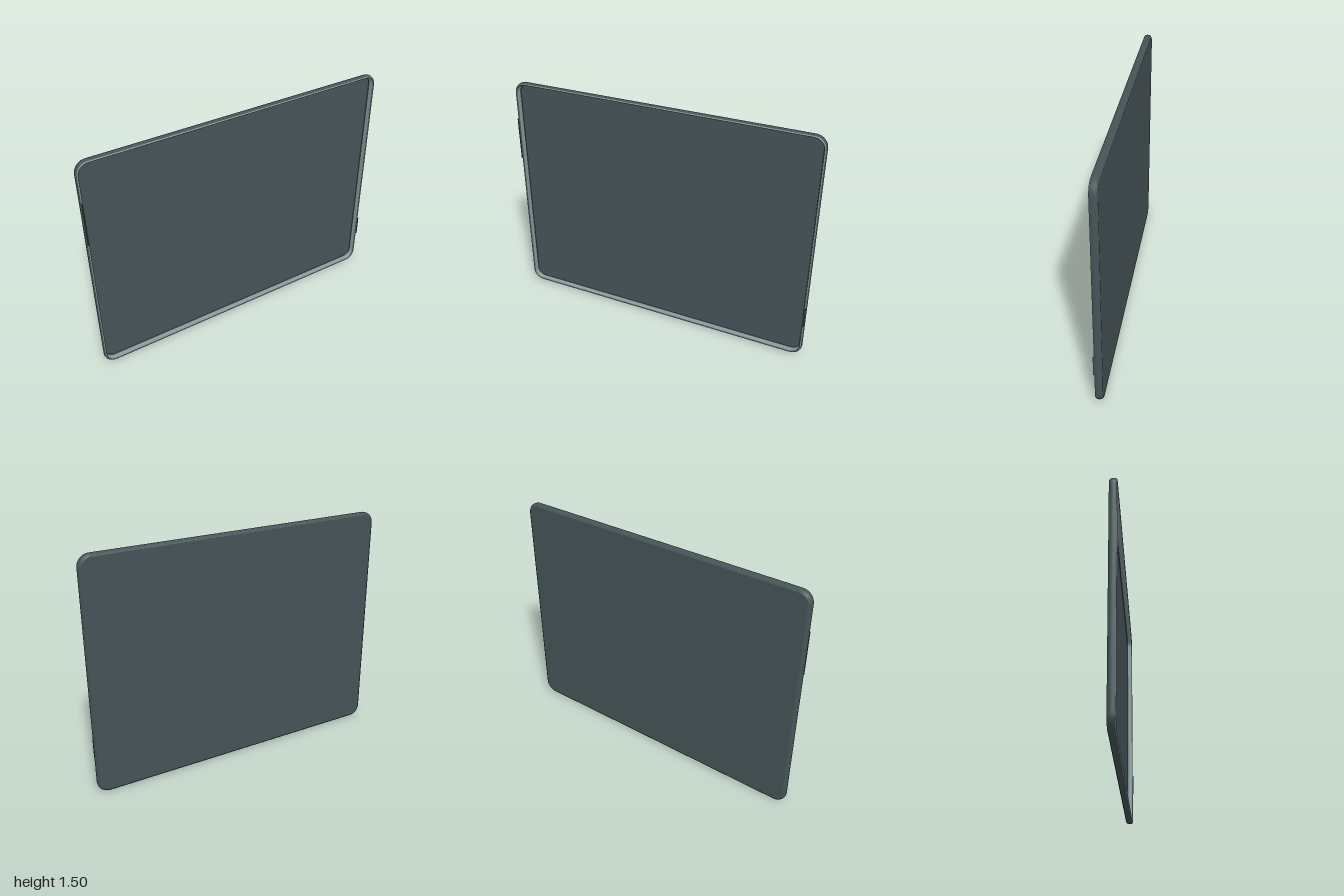
import * as THREE from 'three';
import { toCreasedNormals } from 'three/addons/utils/BufferGeometryUtils.js';

const W = 1, H = 0.75, R = 0.075, SEG = 10;

// Counter-clockwise rounded rectangle, inset from the outer edge.
function ring(inset, z) {
  const points = [];
  const r = R - inset;
  [[1, 1], [-1, 1], [-1, -1], [1, -1]].forEach(([sx, sy], corner) => {
    for (let i = 0; i <= SEG; i++) {
      const a = (corner + i / SEG) * Math.PI / 2;
      points.push(new THREE.Vector3(
        sx * (W - R) + r * Math.cos(a), H + sy * (H - R) + r * Math.sin(a), z));
    }
  });
  return points;
}

// Skin a run of [inset, z] profile points around the outline.
function sweep(profile) {
  const n = 4 * (SEG + 1);
  const positions = [], index = [];
  for (const [inset, z] of profile) {
    for (const p of ring(inset, z)) positions.push(p.x, p.y, p.z);
  }
  for (let k = 0; k < profile.length - 1; k++) {
    for (let i = 0; i < n; i++) {
      const a = k * n + i, b = k * n + (i + 1) % n;
      index.push(a, b, b + n, a, b + n, a + n);
    }
  }
  const geometry = new THREE.BufferGeometry();
  geometry.setAttribute('position', new THREE.Float32BufferAttribute(positions, 3));
  geometry.setIndex(index);
  return toCreasedNormals(geometry, 0.7);
}

// Flat rounded panel, facing forward or backward.
function panel(inset, z, backward) {
  const outline = ring(inset, 0).map(p => new THREE.Vector2(p.x, p.y));
  const geometry = new THREE.ShapeGeometry(new THREE.Shape(outline));
  if (backward) geometry.rotateY(Math.PI);
  return geometry.translate(0, 0, z);
}

function material(name, color) {
  const result = new THREE.MeshStandardMaterial({ color });
  result.name = name;
  return result;
}

export function createModel() {
  const model = new THREE.Group();
  model.name = 'tabletCase';
  const slate = material('slate grey', 0x455357);
  const pale = material('pale grey', 0x86979b);

  const add = (name, geometry, mat) => {
    const mesh = new THREE.Mesh(geometry, mat);
    mesh.name = name;
    model.add(mesh);
    return mesh;
  };

  // Slate outer wall with a softly rounded back edge
  add('outerWall', sweep([
    [0.016, -0.025], [0.007, -0.02], [0.002, -0.012],
    [0, -0.001], [0.001, 0.01], [0.005, 0.017],
  ]), slate);

  // Pale front lip and inner lining
  add('frontLip', sweep([[0.005, 0.017], [0.008, 0.02], [0.011, 0.021], [0.014, 0.019]]), pale);
  add('innerLining', sweep([[0.014, 0.019], [0.015, 0.004], [0.02, -0.009]]), pale);

  // Slate step down to the recessed tray floor
  add('traySide', sweep([[0.02, -0.009], [0.022, -0.016], [0.026, -0.018]]), slate);
  add('trayFloor', panel(0.026, -0.018, false), slate);
  add('backPanel', panel(0.016, -0.025, true), slate);

  // Thin button covers standing on the side lips
  for (const [name, side, low, high] of [
    ['volumeButtonCover', -1, 0.97, 1.25],
    ['powerButtonCover', 1, 0.235, 0.37],
  ]) {
    const cover = add(name, new THREE.BoxGeometry(0.006, high - low, 0.012), slate);
    cover.position.set(side * 0.993, (low + high) / 2, 0.02);
  }
  return model;
}
